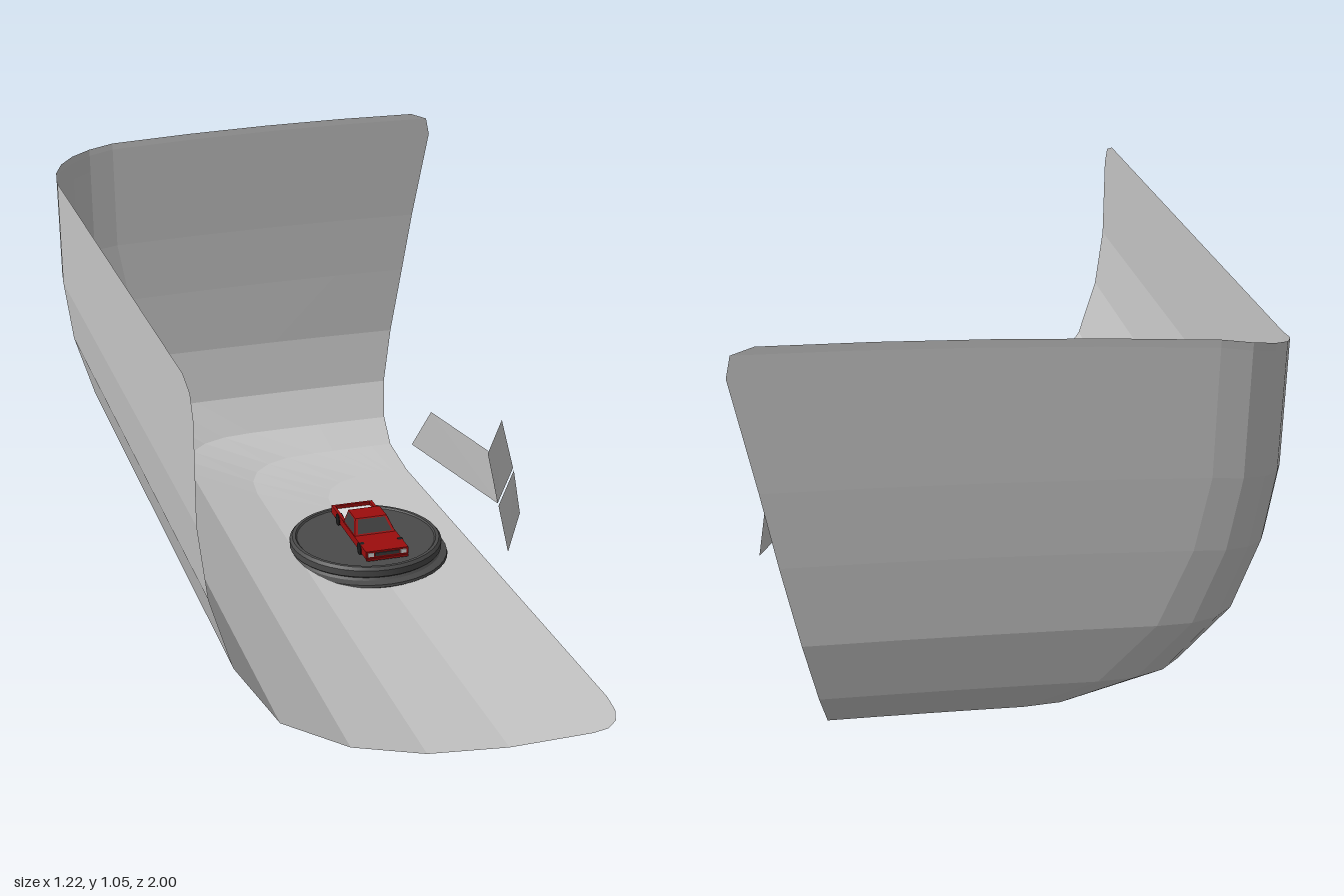
import * as THREE from 'three';

const mat = (name, color, side = THREE.FrontSide) => {
  const m = new THREE.MeshStandardMaterial({ color, side });
  m.name = name;
  return m;
};

export function createModel() {
  const root = new THREE.Group();
  root.name = 'photoStudio';
  const sheet = mat('backdropGrey', 0xc6c6c6, THREE.DoubleSide);
  sheet.flatShading = true;
  const board = mat('reflectorGrey', 0xcccccc, THREE.DoubleSide);
  const dark = mat('turntableGrey', 0x4a4a4a);
  const red = mat('truckRed', 0x9c0d0d);
  const glass = mat('glassGrey', 0x3c3c3c, THREE.DoubleSide);
  const black = mat('tyreBlack', 0x1c1c1c);
  const white = mat('bedWhite', 0xdddddd);

  const add = (parent, name, geo, material, x = 0, y = 0, z = 0) => {
    const m = new THREE.Mesh(geo, material);
    m.name = name;
    m.position.set(x, y, z);
    parent.add(m);
    return m;
  };
  const box = (parent, name, w, h, d, material, x, y, z) =>
    add(parent, name, new THREE.BoxGeometry(w, h, d), material, x, y, z);

  // Backdrop: L-shaped paths stacked from the top edge down to the floor
  // [left inset, left height, back inset, back height, front end z, right end x, corner size]
  const levels = [
    [0, 0.95, 0, 1.047, 0.91, 0.55, 0.2],
    [0, 0.93, 0.001, 1.03, 0.975, 0.6, 0.2],
    [0, 0.88, 0.002, 0.98, 1, 0.61, 0.2],
    [0, 0.65, 0.007, 0.72, 1, 0.555, 0.2],
    [0.02, 0.48, 0.015, 0.54, 1, 0.52, 0.21],
    [0.07, 0.31, 0.03, 0.34, 1, 0.478, 0.23],
    [0.17, 0.16, 0.07, 0.18, 1, 0.443, 0.25],
    [0.33, 0.07, 0.14, 0.08, 1, 0.422, 0.25],
    [0.51, 0.02, 0.24, 0.025, 1, 0.41, 0.25],
    [0.71, 0, 0.4, 0, 1, 0.41, 0.22],
  ];
  const pathAt = ([dL, yL, dB, yB, zF, xR, r]) => {
    const xl = -0.61 + dL, zb = -1 + dB, pts = [];
    const put = (x, z, s) => pts.push([x, yL + (yB - yL) * s, z]);
    for (let i = 0; i < 3; i++) put(xl, zF + (zb + r - zF) * i / 3, 0);
    for (let i = 0; i <= 5; i++) {
      const t = i / 5;
      put(xl + r * t * t, zb + r * (1 - t) * (1 - t), 0.65 * t);
    }
    for (let i = 1; i <= 4; i++) {
      const f = i / 4;
      put(xl + r + (xR - xl - r) * f, zb, 1 - 0.35 * (1 - f) * (1 - f));
    }
    return pts;
  };
  const rows = levels.map(pathAt);
  const n = rows[0].length, index = [];
  for (let k = 0; k < rows.length - 1; k++)
    for (let i = 0; i < n - 1; i++) {
      const a = k * n + i, b = a + n;
      index.push(a, b, a + 1, b, b + 1, a + 1);
    }
  let sweep = new THREE.BufferGeometry();
  sweep.setAttribute('position', new THREE.Float32BufferAttribute(rows.flat(2), 3));
  sweep.setIndex(index);
  sweep = sweep.toNonIndexed();
  sweep.computeVertexNormals();
  add(root, 'backdropWalls', sweep, sheet);

  // Flat floor inside the last path, with a rounded front corner
  const floor = new THREE.Shape(rows[rows.length - 1].map(([x, , z]) => new THREE.Vector2(x, -z)));
  floor.lineTo(0.41, -0.86);
  floor.quadraticCurveTo(0.405, -1, 0.31, -1);
  floor.closePath();
  add(root, 'backdropFloor', new THREE.ShapeGeometry(floor, 4).rotateX(-Math.PI / 2), sheet);

  // Turntable: stepped disc with a groove and a low rim
  const profile = [[0, 0.001], [0.22, 0.001], [0.232, 0.008], [0.23, 0.015], [0.212, 0.02], [0.206, 0.026],
    [0.214, 0.032], [0.214, 0.05], [0.207, 0.058], [0.198, 0.058], [0.194, 0.054], [0, 0.054]];
  const discs = profile.slice(1).map((p, i) =>
    [profile[i], p].map(([x, y]) => new THREE.Vector2(x, y)));
  const table = new THREE.Group();
  table.name = 'turntable';
  table.position.set(0.098, 0, -0.06);
  root.add(table);
  discs.forEach((seg) => add(table, 'turntableRing', new THREE.LatheGeometry(seg, 40), dark));

  // Folding reflector: two upright leaves and one leaning leaf on a shared hinge
  const leaf = (name, a, b, c, d) => {
    const g = new THREE.BufferGeometry();
    g.setAttribute('position', new THREE.Float32BufferAttribute([a, b, c, a, c, d].flat(), 3));
    g.computeVertexNormals();
    add(root, name, g, board);
  };
  const hingeA = [0.382, 0.234, 0.212], hingeB = [0.53, 0.219, -0.035];
  leaf('reflectorLower', [0.409, 0.095, 0.232], [0.55, 0.082, -0.02], [0.532, 0.212, -0.033], [0.384, 0.227, 0.214]);
  leaf('reflectorUpper', hingeA, hingeB, [0.5, 0.36, -0.058], [0.356, 0.375, 0.195]);
  leaf('reflectorLeaning', hingeA, hingeB, [0.326, 0.365, -0.163], [0.18, 0.38, 0.086]);

  // Pickup truck, nose towards +z
  const truck = new THREE.Group();
  truck.name = 'pickupTruck';
  truck.position.set(0.106, 0.054, -0.05);
  root.add(truck);
  box(truck, 'chassis', 0.105, 0.012, 0.3, black, 0, 0.012, 0);
  box(truck, 'body', 0.122, 0.022, 0.21, red, 0, 0.023, 0.052);
  box(truck, 'bedFloor', 0.11, 0.012, 0.11, white, 0, 0.02, -0.106);
  box(truck, 'tailgate', 0.122, 0.024, 0.008, red, 0, 0.024, -0.16);
  for (const s of [-1, 1]) {
    box(truck, 'bedSide', 0.009, 0.024, 0.114, red, s * 0.0565, 0.024, -0.105);
    box(truck, 'headlight', 0.016, 0.011, 0.003, white, s * 0.047, 0.024, 0.158);
    box(truck, 'tailLight', 0.01, 0.01, 0.003, white, s * 0.052, 0.024, -0.165);
    for (const z of [-0.1, 0.1])
      add(truck, 'wheel', new THREE.CylinderGeometry(0.017, 0.017, 0.014, 14).rotateZ(Math.PI / 2), black, s * 0.056, 0.019, z);
  }
  box(truck, 'grille', 0.07, 0.009, 0.003, glass, 0, 0.024, 0.158);
  box(truck, 'bumper', 0.12, 0.007, 0.008, red, 0, 0.011, 0.158);

  // Cab: tapered prism with glass plates on its four sides
  const y0 = 0.034, y1 = 0.069;
  const ring = (w, y, zf, zb) => [[w, y, zf], [w, y, zb], [-w, y, zb], [-w, y, zf]]
    .map((p) => new THREE.Vector3(...p));
  const low = ring(0.059, y0, 0.052, -0.053), top = ring(0.046, y1, 0.014, -0.05);
  const quads = (list) => {
    const g = new THREE.BufferGeometry();
    g.setFromPoints(list.flatMap(([a, b, c, d]) => [a, b, c, a, c, d]));
    g.computeVertexNormals();
    return g;
  };
  const sides = low.map((p, i) => [p, low[(i + 1) % 4], top[(i + 1) % 4], top[i]]);
  add(truck, 'cab', quads([...sides, [top[0], top[1], top[2], top[3]]]), red);
  const panes = sides.map((q) => {
    const mid = q.reduce((s, p) => s.add(p), new THREE.Vector3()).multiplyScalar(0.25);
    const out = q[1].clone().sub(q[0]).cross(q[3].clone().sub(q[0])).normalize().multiplyScalar(0.001);
    return q.map((p) => p.clone().lerp(mid, 0.16).add(out));
  });
  add(truck, 'cabWindows', quads(panes), glass);
  return root;
}
